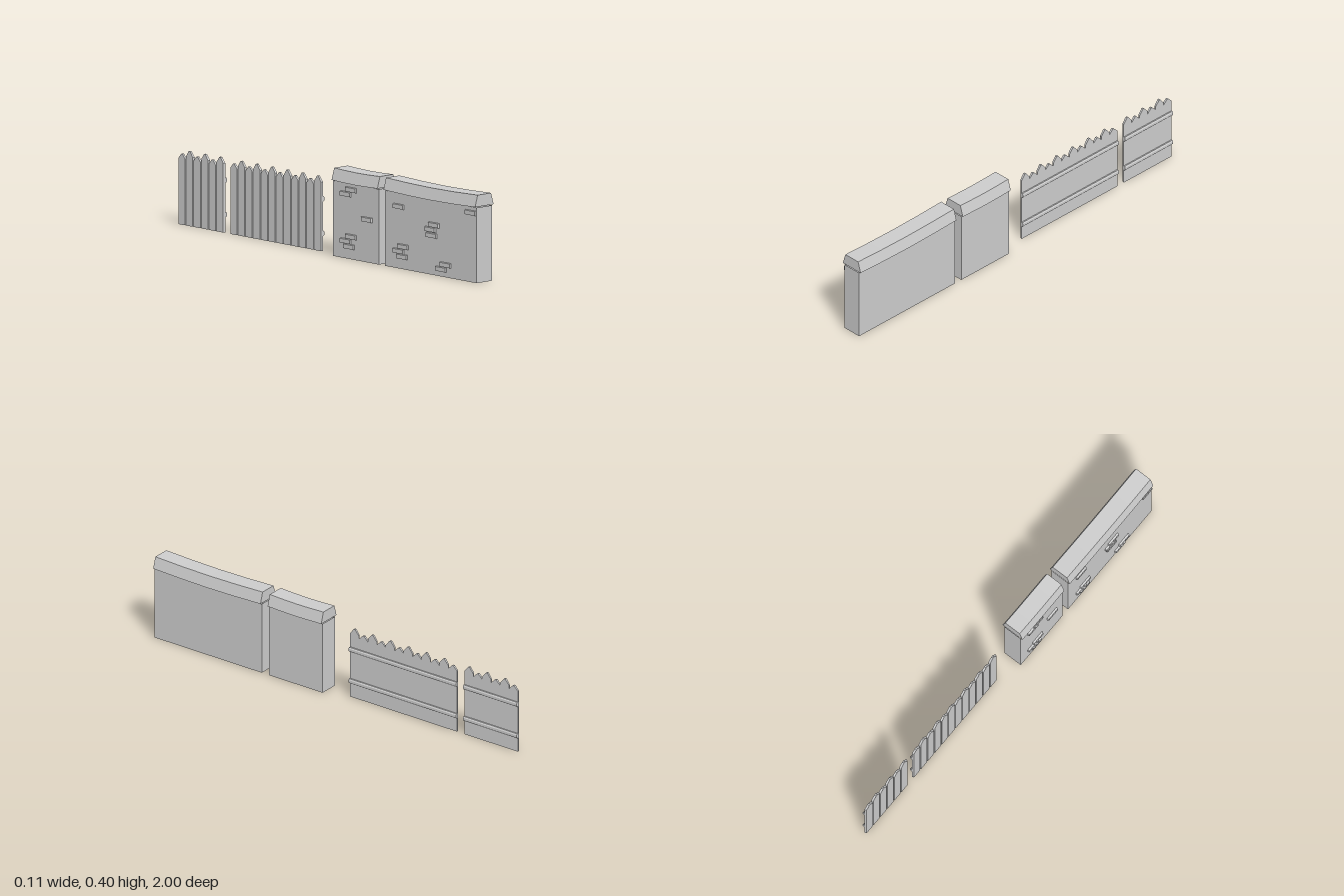
import * as THREE from 'three';

const mat = new THREE.MeshStandardMaterial({ color: 0xcccccc, flatShading: true, side: THREE.DoubleSide });

function add(parent, name, geometry, x = 0, y = 0, z = 0) {
  const mesh = new THREE.Mesh(geometry, mat);
  mesh.name = name;
  mesh.position.set(x, y, z);
  parent.add(mesh);
  return mesh;
}

// Loft a cross-section of [x, y] points through z stations, with flat end caps
function loft(profile, stations, sag) {
  const n = profile.length, pos = [], idx = [];
  stations.forEach((z, i) => profile.forEach(([x, y]) => pos.push(x, y - sag[i], z)));
  for (let i = 0; i < stations.length - 1; i++) {
    for (let j = 0; j < n; j++) {
      const a = i * n + j, b = i * n + (j + 1) % n;
      idx.push(a, b, b + n, a, b + n, a + n);
    }
  }
  const last = (stations.length - 1) * n;
  for (let j = 1; j < n - 1; j++) idx.push(0, j + 1, j, last, last + j, last + j + 1);
  const g = new THREE.BufferGeometry();
  g.setAttribute('position', new THREE.Float32BufferAttribute(pos, 3));
  g.setIndex(idx);
  const flat = g.toNonIndexed();
  flat.computeVertexNormals();
  return flat;
}

// Box whose -x face is slightly smaller than its back
function brickGeometry() {
  const g = new THREE.BoxGeometry(0.0105, 0.023, 0.068);
  const p = g.attributes.position;
  for (let i = 0; i < p.count; i++) {
    if (p.getX(i) < 0) {
      p.setY(i, p.getY(i) - Math.sign(p.getY(i)) * 0.002);
      p.setZ(i, p.getZ(i) - Math.sign(p.getZ(i)) * 0.002);
    }
  }
  g.computeVertexNormals();
  return g;
}

// Wall section: hollow body open below, sagging coping, raised bricks on -x
function wall(name, z0, z1, dip, bricks) {
  const g = new THREE.Group();
  g.name = name;
  const len = z1 - z0, mid = (z0 + z1) / 2;
  const box = new THREE.BoxGeometry(0.094, 0.343, len);
  const index = Array.from(box.index.array);
  index.splice(12, 12); // no top or bottom
  box.setIndex(index);
  add(g, 'wallBody', box, 0, 0.1715, mid);

  const profile = [[-0.057, 0.347], [0.057, 0.347], [0.041, 0.4], [-0.041, 0.4]];
  const t = [0, 0.25, 0.5, 0.75, 1];
  add(g, 'coping', loft(profile, t.map(u => z0 + u * len), t.map(u => dip * Math.sin(Math.PI * u))));

  const brick = brickGeometry();
  bricks.forEach(([z, y]) => add(g, 'brick', brick, -0.0508, y, z));
  return g;
}

// Pointed plank with its -x face bevelled, standing on y = 0
function plankGeometry(shoulder, tip) {
  const w = 0.025, thick = 0.01, bevel = 0.003;
  const s = new THREE.Shape();
  s.moveTo(-w, 0);
  s.lineTo(w, 0);
  s.lineTo(w, shoulder);
  s.lineTo(0.004, tip);
  s.lineTo(-0.004, tip);
  s.lineTo(-w, shoulder);
  const g = new THREE.ExtrudeGeometry(s, { depth: thick, bevelEnabled: false });
  const p = g.attributes.position;
  for (let i = 0; i < p.count; i++) {
    if (p.getZ(i) > thick / 2 && Math.abs(p.getX(i)) > 0.01) {
      p.setX(i, p.getX(i) - Math.sign(p.getX(i)) * bevel);
    }
  }
  g.rotateY(-Math.PI / 2); // extrusion now runs towards -x
  g.computeVertexNormals();
  return g;
}

// Fence section: alternating tall and short planks, two rails on +x
function fence(name, zStart, count) {
  const g = new THREE.Group();
  g.name = name;
  const tall = plankGeometry(0.315, 0.341), low = plankGeometry(0.301, 0.322);
  for (let i = 0; i < count; i++) {
    add(g, 'plank', i % 2 ? low : tall, 0.003, 0, zStart - 0.05 * (i + 0.5));
  }
  const profile = [[0.002, -0.011], [0.009, -0.011], [0.013, -0.005], [0.013, 0.005], [0.009, 0.011], [0.002, 0.011]];
  const rail = loft(profile, [zStart - 0.05 * count, zStart], [0, 0]);
  for (const y of [0.08, 0.237]) add(g, 'rail', rail, 0, y, 0);
  return g;
}

export function createModel() {
  const model = new THREE.Group();
  model.name = 'wallAndFence';
  model.add(
    wall('longWall', 0.4, 1, 0.007, [
      [0.491, 0.282], [0.722, 0.228], [0.699, 0.205], [0.707, 0.179],
      [0.52, 0.102], [0.491, 0.079], [0.514, 0.056],
      [0.798, 0.056], [0.769, 0.033], [0.962, 0.316],
    ]),
    wall('shortWall', 0.06, 0.36, 0.004, [
      [0.179, 0.316], [0.144, 0.293], [0.283, 0.194],
      [0.179, 0.102], [0.144, 0.079], [0.167, 0.056],
    ]),
    fence('longFence', -0.06, 12),
    fence('shortFence', -0.7, 6),
  );
  return model;
}
